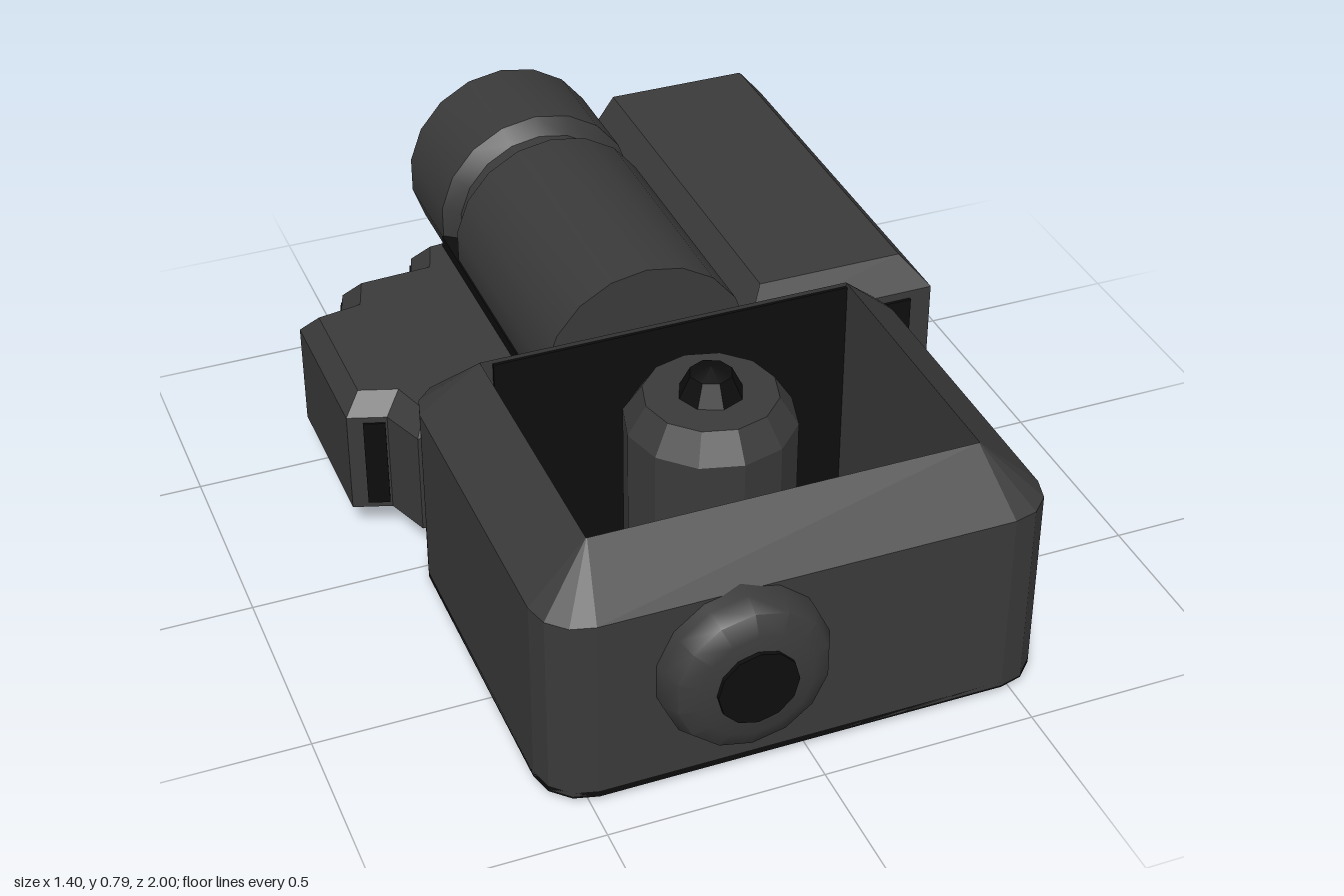
import * as THREE from 'three';
import { toCreasedNormals } from 'three/addons/utils/BufferGeometryUtils.js';

const grey = new THREE.MeshStandardMaterial({ color: 0x3a3a3a });
grey.name = 'dark grey';
const black = new THREE.MeshStandardMaterial({ color: 0x0d0d0d });
black.name = 'black';

// Rectangle in plan (x, z) with rounded corners; every ring has 16 points
function plan(x0, x1, z0, z1, r) {
  const corners = [[x1 - r, z1 - r], [x0 + r, z1 - r], [x0 + r, z0 + r], [x1 - r, z0 + r]];
  const pts = [];
  corners.forEach(([cx, cz], q) => {
    for (let i = 0; i < 4; i++) {
      const a = (q + i / 3) * Math.PI / 2;
      pts.push([cx + r * Math.cos(a), cz + r * Math.sin(a)]);
    }
  });
  return pts;
}

// Flat-sided solid through stacked plan rings: [height, points]
function loft(rings, capped = true) {
  const pos = [];
  const put = (y, p) => pos.push(p[0], y, p[1]);
  for (let j = 0; j < rings.length - 1; j++) {
    const [ya, A] = rings[j], [yb, B] = rings[j + 1];
    A.forEach((p, i) => {
      const k = (i + 1) % A.length;
      put(ya, p); put(yb, B[i]); put(ya, A[k]);
      put(ya, A[k]); put(yb, B[i]); put(yb, B[k]);
    });
  }
  if (capped) {
    for (const [[y, pts], top] of [[rings[0], false], [rings[rings.length - 1], true]]) {
      const contour = pts.map(p => new THREE.Vector2(p[0], p[1]));
      for (const [a, b, c] of THREE.ShapeUtils.triangulateShape(contour, [])) {
        for (const i of top ? [c, b, a] : [a, b, c]) put(y, pts[i]);
      }
    }
  }
  const g = new THREE.BufferGeometry();
  g.setAttribute('position', new THREE.Float32BufferAttribute(pos, 3));
  g.computeVertexNormals();
  return g;
}

// Turned part from [radius, height] pairs, lowest first
function turned(profile, sides, crease) {
  const g = new THREE.LatheGeometry(profile.map(p => new THREE.Vector2(p[0], p[1])), sides);
  return toCreasedNormals(g, crease);
}

export function createModel() {
  const model = new THREE.Group();
  model.name = 'device';
  const add = (name, geo, mat, x = 0, y = 0, z = 0) => {
    const m = new THREE.Mesh(geo, mat);
    m.name = name;
    m.position.set(x, y, z);
    model.add(m);
    return m;
  };
  const box = (name, mat, x0, x1, y0, y1, z0, z1) =>
    add(name, new THREE.BoxGeometry(x1 - x0, y1 - y0, z1 - z0), mat,
      (x0 + x1) / 2, (y0 + y1) / 2, (z0 + z1) / 2);

  // Open tray with sloping rim and inner walls
  const outer = plan(-0.59, 0.585, -0.05, 0.9, 0.11);
  add('trayFrame', loft([
    [0.02, outer], [0.48, outer],
    [0.6, plan(-0.45, 0.45, 0.08, 0.76, 0.002)],
    [0.03, plan(-0.4, 0.45, 0.08, 0.76, 0.002)],
  ], false), grey);
  add('trayFloor', loft([[0.015, outer], [0.03, outer]]), black);
  box('innerBackWall', black, -0.42, 0.45, 0.03, 0.59, 0.078, 0.087);
  box('foot', black, -0.2, 0.16, 0, 0.016, 0.02, 0.06);

  // Upright knob with a black tip
  add('knob', turned([[0, 0.03], [0.19, 0.03], [0.19, 0.655], [0.148, 0.72], [0, 0.72]], 12, 0.4),
    grey, -0.08, 0, 0.53);
  add('knobTip', turned([[0, 0.715], [0.075, 0.715], [0.048, 0.77], [0, 0.785]], 8, 0.3),
    black, -0.08, 0, 0.53);

  // Round button through the front wall
  add('frontButton', turned([[0, 0.68], [0.195, 0.68], [0.195, 0.93], [0.175, 0.97],
    [0.13, 0.99], [0, 0.99]], 14, 0.7).rotateX(Math.PI / 2), grey, -0.16, 0.295, 0);
  add('frontButtonCentre', turned([[0, 0.985], [0.092, 0.985], [0.092, 1], [0, 1]], 12, 0.4)
    .rotateX(Math.PI / 2), black, -0.16, 0.295, 0);

  // Lying cylinder with a groove
  add('barrel', turned([[0, -1], [0.255, -1], [0.255, -0.74], [0.215, -0.71], [0.215, -0.65],
    [0.255, -0.62], [0.255, 0.02], [0, 0.02]], 18, 0.6).rotateX(Math.PI / 2), grey, -0.025, 0.455, 0);
  box('barrelCradle', black, -0.28, 0.235, 0.26, 0.42, -0.74, -0.02);

  // Long bevelled block
  add('sideBlock', loft([
    [0.08, plan(0.23, 0.7, -1, 0.03, 0.001)],
    [0.5, plan(0.23, 0.7, -1, 0.03, 0.001)],
    [0.57, plan(0.28, 0.64, -1, -0.03, 0.001)],
  ]), grey);
  box('blockJoint', black, 0.5, 0.645, 0.08, 0.48, 0.028, 0.037);

  // Stepped block, bevelled along its upper edge
  const steps = [[-0.2, -0.03], [-0.57, -0.04], [-0.61, -0.15], [-0.7, -0.18], [-0.7, -0.58],
    [-0.59, -0.6], [-0.56, -0.69], [-0.38, -0.7], [-0.35, -0.79], [-0.2, -0.8]];
  const inset = [[-0.2, -0.07], [-0.54, -0.08], [-0.57, -0.18], [-0.66, -0.21], [-0.66, -0.54],
    [-0.55, -0.56], [-0.52, -0.65], [-0.34, -0.66], [-0.31, -0.75], [-0.2, -0.76]];
  add('steppedBlock', loft([[0.08, steps], [0.34, steps], [0.39, inset]]), grey);

  // Black strips in the step corners
  for (const [i, from, to] of [[2, 0.05, 0.6], [5, 0.1, 0.9], [7, 0.1, 0.9]]) {
    const [ax, az] = steps[i], [bx, bz] = steps[i + 1];
    const dx = bx - ax, dz = bz - az, mid = (from + to) / 2;
    const strip = add('stepStrip',
      new THREE.BoxGeometry(Math.hypot(dx, dz) * (to - from), 0.23, 0.009), black,
      ax + dx * mid, 0.21, az + dz * mid);
    strip.rotation.y = -Math.atan2(dz, dx);
  }

  return model;
}
